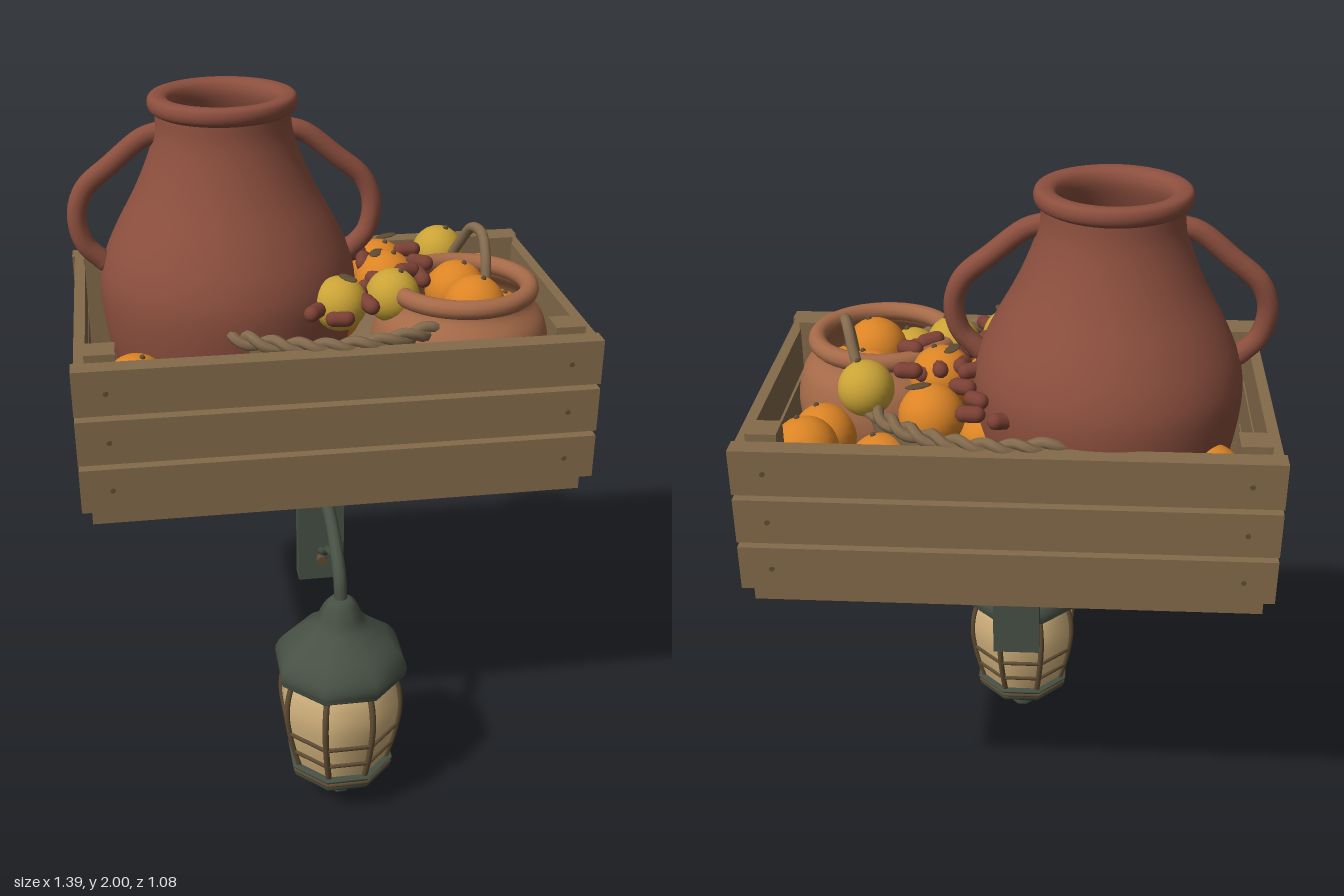
import * as THREE from 'three';

const mat = (name, color, side = THREE.FrontSide) => {
  const m = new THREE.MeshStandardMaterial({ color, side });
  m.name = name;
  return m;
};

export function createModel() {
  const model = new THREE.Group();
  const wood = mat('crate wood', 0x846a4a);
  const clay = mat('red clay', 0x8c4f3e, THREE.DoubleSide);
  const terracotta = mat('pale terracotta', 0xa56a48, THREE.DoubleSide);
  const orangeSkin = mat('orange skin', 0xdc8425);
  const lemonSkin = mat('yellow skin', 0xcaa336);
  const dateSkin = mat('date brown', 0x7c4135);
  const wicker = mat('wicker', 0x846b4e, THREE.DoubleSide);
  const metal = mat('green iron', 0x475044);
  const glass = mat('amber glass', 0xd4b47e);
  const dark = mat('dark bronze', 0x5f4c33, THREE.DoubleSide);

  const group = (name, parent = model) => {
    const g = new THREE.Group();
    g.name = name;
    parent.add(g);
    return g;
  };
  const add = (parent, name, geo, material, x = 0, y = 0, z = 0) => {
    const m = new THREE.Mesh(geo, material);
    m.name = name;
    m.position.set(x, y, z);
    parent.add(m);
    return m;
  };
  const box = (parent, name, w, h, d, material, x, y, z) =>
    add(parent, name, new THREE.BoxGeometry(w, h, d), material, x, y, z);
  const lathe = (pts, sides = 48, start = 0) =>
    new THREE.LatheGeometry(new THREE.SplineCurve(pts.map(p => new THREE.Vector2(...p))).getPoints(40), sides, start);
  // Round tube through points, with rounded ends
  const tube = (parent, name, pts, r, material, segs = 28) => {
    const v = pts.map(p => new THREE.Vector3(...p));
    add(parent, name, new THREE.TubeGeometry(new THREE.CatmullRomCurve3(v), segs, r, 10), material);
    for (const p of [v[0], v[v.length - 1]])
      add(parent, name + 'End', new THREE.SphereGeometry(r, 10, 8), material, p.x, p.y, p.z);
  };

  // Slatted crate
  const crate = group('crate');
  const cz = -0.075;
  box(crate, 'floor', 1.34, 0.05, 0.86, wood, 0, 1.003, cz);
  for (const y of [1.093, 1.233, 1.373])
    for (const s of [-1, 1]) {
      box(crate, 'longSlat', 1.39, 0.125, 0.056, wood, 0, y, cz + s * 0.432);
      box(crate, 'endSlat', 0.03, 0.125, 0.81, wood, s * 0.672, y, cz);
      for (const x of [-0.61, 0.61]) {
        const nail = add(crate, 'nail', new THREE.CylinderGeometry(0.007, 0.007, 0.006, 8), dark, x, y, cz + s * 0.461);
        nail.rotation.x = Math.PI / 2;
      }
    }
  for (const x of [-0.62, 0.62])
    for (const s of [-1, 1]) box(crate, 'cornerPost', 0.08, 0.43, 0.08, wood, x, 1.24, cz + s * 0.363);

  // Tall jar with two handles
  const jar = group('jar');
  jar.position.set(-0.25, 0, -0.13);
  add(jar, 'jarBody', lathe([
    [0.23, 1.05], [0.3, 1.17], [0.345, 1.32], [0.36, 1.46], [0.345, 1.55], [0.305, 1.64],
    [0.25, 1.74], [0.21, 1.83], [0.188, 1.9], [0.182, 1.955]]), clay);
  add(jar, 'jarRim', lathe([
    [0.182, 1.95], [0.198, 1.96], [0.203, 1.98], [0.194, 1.998], [0.165, 1.999], [0.146, 1.985],
    [0.142, 1.95], [0.165, 1.88], [0.2, 1.8]]), clay);
  for (const s of [-1, 1])
    tube(jar, 'jarHandle', [
      [s * 0.17, 1.9, 0], [s * 0.22, 1.885, 0], [s * 0.31, 1.815, 0], [s * 0.385, 1.75, 0],
      [s * 0.41, 1.68, 0.005], [s * 0.395, 1.6, 0.01], [s * 0.345, 1.545, 0.01]], 0.028, clay);

  // Round bowl with a rim and a bent handle
  const bowl = group('bowl');
  bowl.position.set(0.38, 0, 0.075);
  add(bowl, 'bowlBody', lathe([
    [0.02, 1.06], [0.15, 1.07], [0.215, 1.17], [0.25, 1.3], [0.235, 1.4], [0.195, 1.46], [0.192, 1.5]]), terracotta);
  const rim = add(bowl, 'bowlRim', new THREE.TorusGeometry(0.188, 0.026, 12, 40), terracotta, 0, 1.492, 0);
  rim.rotation.x = Math.PI / 2;
  tube(bowl, 'bowlHandle', [
    [0.08, 1.46, -0.04], [0.085, 1.54, -0.07], [0.085, 1.595, -0.125], [0.07, 1.595, -0.18],
    [0.05, 1.54, -0.225], [0.02, 1.46, -0.27]], 0.015, wicker);

  // Wicker basket with a twisted rim
  const basket = group('basket');
  basket.position.set(0.01, 0, -0.08);
  const shell = add(basket, 'basketBody', lathe([
    [0.22, 1.06], [0.31, 1.15], [0.38, 1.3], [0.405, 1.43]], 40), wicker);
  shell.scale.z = 0.95;
  for (const phase of [0, Math.PI]) {
    const pts = [];
    for (let i = 0; i < 144; i++) {
      const a = i / 144 * Math.PI * 2, t = a * 18 + phase, r = 0.41 + 0.013 * Math.cos(t);
      pts.push(new THREE.Vector3(r * Math.cos(a), 1.435 + 0.012 * Math.sin(t), r * Math.sin(a) * 0.98));
    }
    const c = new THREE.CatmullRomCurve3(pts, true);
    add(basket, 'twistedRim', new THREE.TubeGeometry(c, 360, 0.015, 7, true), wicker);
  }

  // Fruit: x, y, z
  const fruit = group('fruit');
  const ball = (name, material, r, [x, y, z]) => {
    add(fruit, name, new THREE.SphereGeometry(r, 24, 16), material, x, y, z);
    add(fruit, 'stemDot', new THREE.SphereGeometry(0.008, 8, 6), dark, x + 0.02, y + r * 0.97, z + 0.01);
  };
  [[-0.53, 1.3, 0.19], [-0.52, 1.3, -0.35], [0.54, 1.34, -0.33], [0.34, 1.3, -0.34], [0.52, 1.3, -0.17],
    [0.21, 1.42, -0.28], [0.2, 1.45, -0.1], [0.12, 1.3, 0.22], [0.4, 1.42, -0.07], [0.41, 1.44, 0.11],
    [0.5, 1.36, 0.02], [0.49, 1.33, 0.17], [-0.39, 1.2, -0.08], [-0.2, 1.2, -0.09], [-0.24, 1.15, -0.24],
    [-0.27, 1.12, 0.02], [0.06, 1.32, -0.2]].forEach(p => ball('orange', orangeSkin, 0.088, p));
  [[0.185, 1.475, 0.08], [0.03, 1.48, 0.13], [0.31, 1.4, 0.17], [0.385, 1.48, -0.245], [-0.3, 1.3, 0.2]]
    .forEach(p => ball('lemon', lemonSkin, 0.075, p));

  // Small leaves on the fruit
  [[0.24, 1.515, -0.3, 0.5], [0.05, 1.555, 0.14, 2], [0.17, 1.535, -0.1, 1.2]].forEach(([x, y, z, a]) => {
    const leaf = add(fruit, 'leaf', new THREE.SphereGeometry(0.038, 10, 6), dark, x, y, z);
    leaf.scale.set(1, 0.1, 0.45);
    leaf.rotation.y = a;
  });

  // Dates scattered over the basket and inside the jar
  let seed = 7;
  const rnd = () => (seed = (seed * 16807) % 2147483647) / 2147483647;
  const date = (x, y, z) => {
    const d = add(fruit, 'date', new THREE.CapsuleGeometry(0.022, 0.035, 5, 10), dateSkin, x, y, z);
    d.rotation.set(Math.PI / 2 + (rnd() - 0.5) * 0.8, 0, rnd() * Math.PI);
  };
  [[0.02, -0.38], [0.1, -0.37], [0.09, -0.3], [0.13, -0.25], [0.11, -0.18], [0.14, -0.13], [0.2, -0.15],
    [0.28, -0.19], [0.29, -0.06], [0.28, 0], [0.16, -0.03], [0.13, 0.02], [0.09, 0.07], [0.1, 0.18],
    [0.02, 0.2], [-0.05, 0.21], [0.24, 0], [0.25, -0.14]].forEach(([x, z]) => date(x, 1.46 + rnd() * 0.06, z));
  for (let i = 0; i < 14; i++) {
    const a = i * 2.4, r = 0.04 * Math.sqrt(i);
    date(-0.25 + r * Math.cos(a), 1.27 + rnd() * 0.03, -0.12 + r * Math.sin(a));
  }

  // Wall bracket
  const bracket = group('bracket');
  box(bracket, 'wallPlate', 0.14, 0.45, 0.055, metal, 0, 0.735, -0.038);
  for (const y of [0.895, 0.585]) {
    const screw = add(bracket, 'screw', new THREE.CylinderGeometry(0.016, 0.016, 0.026, 12), dark, 0, y, 0);
    screw.rotation.x = Math.PI / 2;
  }
  tube(bracket, 'arm', [
    [0, 0.845, -0.02], [0, 0.845, 0.08], [0, 0.825, 0.2], [0, 0.78, 0.29], [0, 0.73, 0.345], [0, 0.67, 0.36]], 0.019, metal);
  tube(bracket, 'brace', [[0, 0.605, -0.02], [0, 0.65, 0.06], [0, 0.7, 0.13], [0, 0.745, 0.235]], 0.012, metal);

  // Eight-sided lantern
  const lantern = group('lantern');
  lantern.position.z = 0.36;
  const turn = Math.PI / 8;
  add(lantern, 'cap', lathe([
    [0.001, 0.432], [0.17, 0.44], [0.193, 0.455], [0.192, 0.49], [0.165, 0.53], [0.115, 0.57],
    [0.075, 0.605], [0.055, 0.645], [0.035, 0.675], [0.001, 0.685]], 8, turn), metal);
  const glassCurve = [[0.135, 0.13], [0.155, 0.2], [0.17, 0.27], [0.178, 0.34], [0.172, 0.4], [0.158, 0.445]];
  add(lantern, 'glass', lathe(glassCurve, 8, turn), glass);
  add(lantern, 'base', lathe([
    [0.001, 0.003], [0.037, 0.003], [0.041, 0.03], [0.08, 0.055], [0.13, 0.088], [0.152, 0.108],
    [0.153, 0.13], [0.148, 0.145], [0.001, 0.146]], 8, turn), metal);
  for (let i = 0; i < 8; i++) {
    const a = turn + i * Math.PI / 4;
    tube(lantern, 'rib', glassCurve.map(([r, y]) => [r * Math.sin(a), y, r * Math.cos(a)]), 0.009, dark, 14);
  }
  for (const [r, y] of [[0.155, 0.2], [0.17, 0.27], [0.149, 0.125]]) {
    const g = new THREE.TorusGeometry(r + 0.002, 0.007, 6, 8);
    g.rotateX(Math.PI / 2).rotateY(turn);
    add(lantern, 'crossBar', g, dark, 0, y, 0);
  }
  return model;
}
